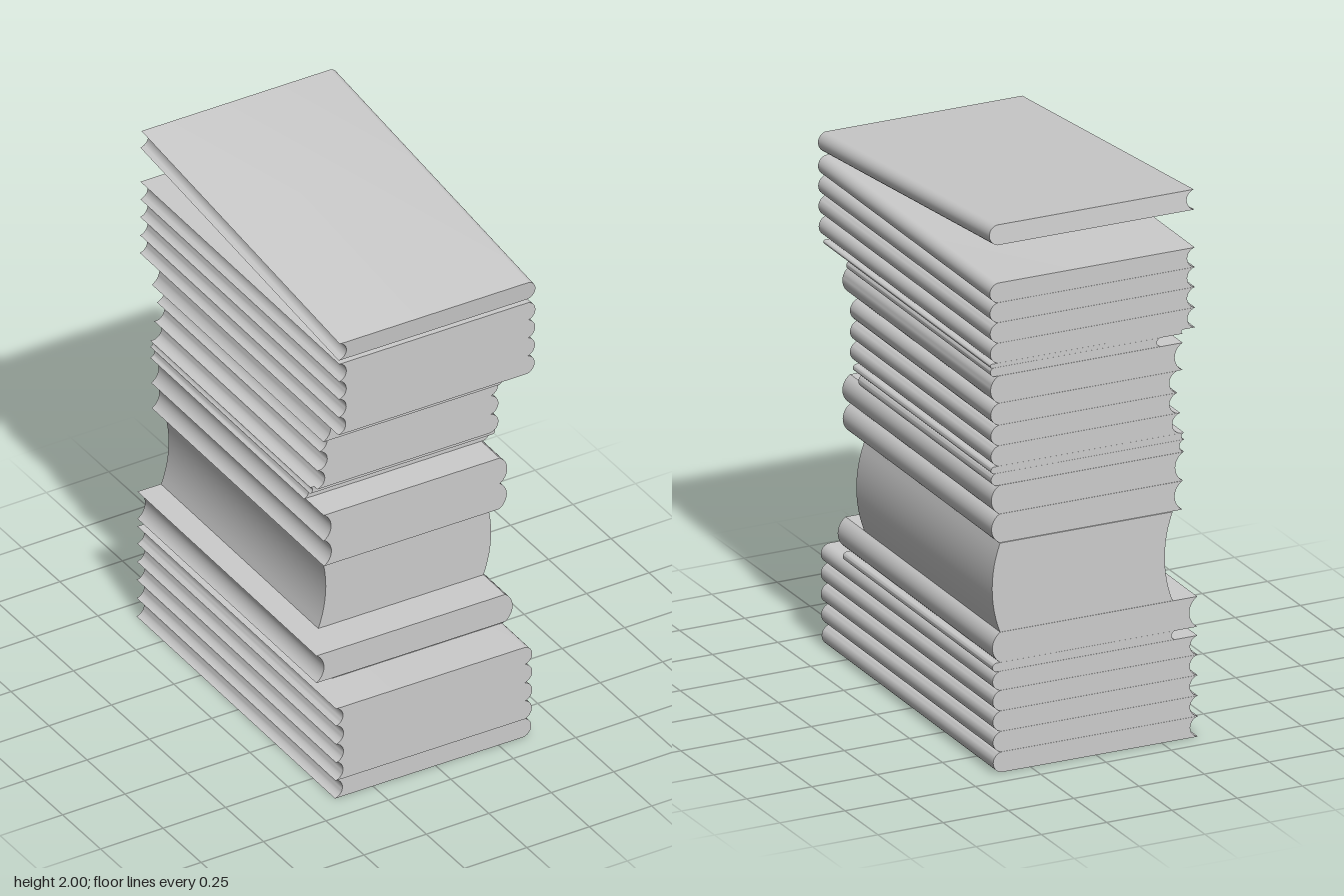
import * as THREE from 'three';
import { toCreasedNormals } from 'three/addons/utils/BufferGeometryUtils.js';

const SPINE_PEAK = 0.386;
const ARC_STEPS = 12;

// Points of a shallow circular arc from (x, 0) to (x, h), swelling to +x by s
function arc(x, h, s) {
  const r = (h * h / 4 + s * s) / (2 * s);
  const a = Math.asin(Math.min(1, h / 2 / r));
  const points = [];
  for (let i = 0; i <= ARC_STEPS; i++) {
    const t = -a + (2 * a * i) / ARC_STEPS;
    points.push(new THREE.Vector2(x + s - r + r * Math.cos(t), h / 2 + r * Math.sin(t)));
  }
  return points;
}

// Book with a rounded spine on +x and a hollow fore edge on -x,
// its back end at z = -depth and its front end at z = 0
function book(name, foreEdge, height, depth, material) {
  const s = Math.min(0.4 * height, 0.03);
  const outline = [
    ...arc(SPINE_PEAK - s, height, s),
    ...arc(foreEdge, height, s).reverse(),
  ];
  const geometry = new THREE.ExtrudeGeometry(new THREE.Shape(outline), {
    depth, bevelEnabled: false,
  });
  geometry.translate(0, 0, -depth);
  const mesh = new THREE.Mesh(toCreasedNormals(geometry, 0.6), material);
  mesh.name = name;
  return mesh;
}

export function createModel() {
  const paper = new THREE.MeshStandardMaterial({ color: 0xcccccc });
  paper.name = 'plain grey';

  const stack = new THREE.Group();
  stack.name = 'bookStack';

  // Each book: bottom y, front z, fore-edge x; the next bottom is its top
  const rows = [
    [0, 0.651, -0.395], [0.075, 0.655, -0.395], [0.15, 0.658, -0.395],
    [0.225, 0.658, -0.395], [0.3, 0.658, -0.395],
    [0.37, 0.487, -0.31],
    [0.402, 0.527, -0.395],
    [0.513, 0.383, -0.302],
    [0.84, 0.488, -0.342], [0.945, 0.491, -0.345],
    [1.05, 0.368, -0.35], [1.095, 0.41, -0.35],
    [1.12, 0.432, -0.335], [1.195, 0.432, -0.325], [1.27, 0.432, -0.325],
    [1.35, 0.491, -0.346],
    [1.45, 0.46, -0.262], [1.482, 0.638, -0.348],
    [1.497, 0.674, -0.395], [1.57, 0.676, -0.395],
    [1.645, 0.678, -0.395], [1.718, 0.679, -0.395],
  ];
  const topOfStack = 1.79;
  rows.forEach(([y, front, foreEdge], i) => {
    const top = i + 1 < rows.length ? rows[i + 1][0] : topOfStack;
    const back = -0.675 + 0.015 * y;
    const mesh = book('book' + (i + 1), foreEdge, top - y, front - back, paper);
    mesh.position.set(0, y, front);
    stack.add(mesh);
  });

  // Last book, propped up at the back
  const tilted = book('tiltedTopBook', -0.395, 0.072, 1.331, paper);
  tilted.position.set(0, 1.803, 0.676);
  tilted.rotation.x = 0.095;
  stack.add(tilted);

  // The whole pile sits slightly turned
  stack.rotation.y = -0.0095;

  const model = new THREE.Group();
  model.name = 'stackOfBooks';
  model.add(stack);
  return model;
}
